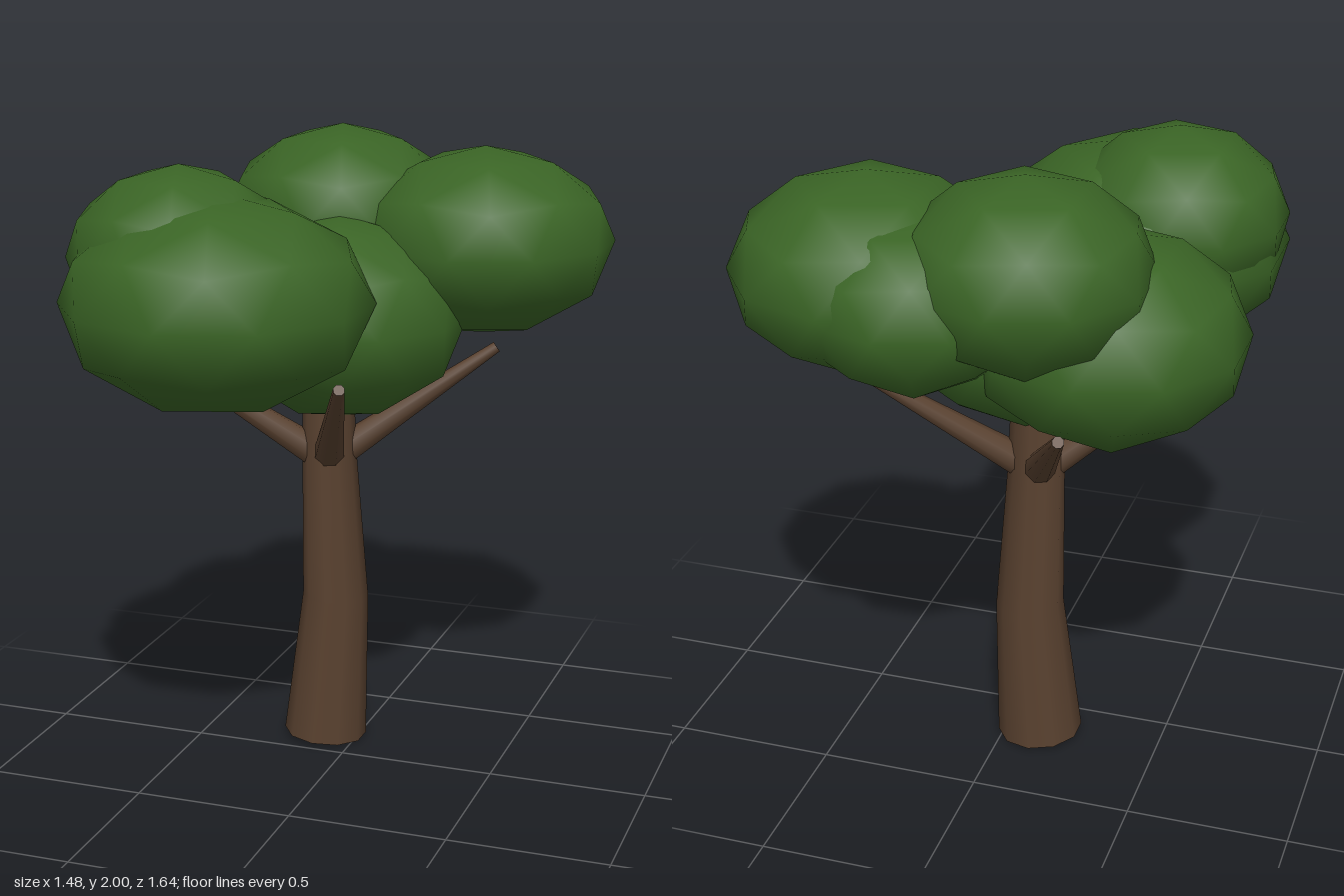
import * as THREE from 'three';

const bark = new THREE.MeshStandardMaterial({ name: 'barkBrown', color: 0x5a4230 });
const leaf = new THREE.MeshStandardMaterial({ name: 'leafGreen', color: 0x3a6425 });

// Smooth tapered tube through rings [x, y, z, radius], closed with flat caps
function taperedTube(rings, sides, up) {
  const q = new THREE.Quaternion().setFromUnitVectors(new THREE.Vector3(0, 1, 0), up);
  const geo = new THREE.CylinderGeometry(1, 1, 1, sides, rings.length - 1);
  const pos = geo.attributes.position;
  const v = new THREE.Vector3();
  for (let i = 0; i < pos.count; i++) {
    const [x, y, z, r] = rings[Math.round((pos.getY(i) + 0.5) * (rings.length - 1))];
    v.set(pos.getX(i) * r, 0, pos.getZ(i) * r).applyQuaternion(q);
    pos.setXYZ(i, x + v.x, y + v.y, z + v.z);
  }
  geo.getAttribute('normal').array.forEach((_, i, a) => {
    if (i % 3) return;
    v.fromArray(a, i).applyQuaternion(q).toArray(a, i);
  });
  return geo;
}

export function createModel() {
  const tree = new THREE.Group();
  tree.name = 'tree';

  const add = (name, geo, mat) => {
    const mesh = new THREE.Mesh(geo, mat);
    mesh.name = name;
    tree.add(mesh);
    return mesh;
  };

  // Slightly bent trunk
  add('trunk', taperedTube([
    [-0.11, 0.012, -0.147, 0.135],
    [-0.08, 0.49, -0.165, 0.107],
    [-0.095, 0.97, -0.15, 0.088],
    [-0.1, 1.3, -0.145, 0.08],
  ], 10, new THREE.Vector3(0.07, 1, -0.02).normalize()), bark);

  // Four branches, a quarter turn apart
  for (let i = 0; i < 4; i++) {
    const a = -0.4 + i * Math.PI / 2;
    const cx = -0.1, cz = -0.15;
    const dx = Math.cos(a), dz = Math.sin(a);
    const start = [cx + dx * 0.05, 0.985, cz + dz * 0.05, 0.05];
    const end = [cx + dx * 0.54, 1.315, cz + dz * 0.54, 0.018];
    const up = new THREE.Vector3(dx * 0.49, 0.33, dz * 0.49).normalize();
    add('branch' + (i + 1), taperedTube([start, end], 8, up), bark);
  }

  // Leaf clumps: squashed icospheres with a vertex at the top
  const clump = new THREE.IcosahedronGeometry(1, 1);
  clump.rotateX(-Math.atan((1 + Math.sqrt(5)) / 2));
  clump.rotateY(Math.PI / 2);
  // x, y, z, horizontal radius, vertical radius
  const clumps = {
    frontLeaves: [-0.275, 1.55, 0.345, 0.475, 0.33],
    frontUpperLeaves: [-0.41, 1.67, 0.295, 0.345, 0.28],
    topLeaves: [-0.14, 1.71, -0.41, 0.38, 0.29],
    leftLeaves: [0.345, 1.655, -0.375, 0.415, 0.298],
    backLeaves: [0.17, 1.62, -0.475, 0.347, 0.27],
    rightLeaves: [-0.34, 1.47, -0.23, 0.42, 0.32],
    middleLeaves: [-0.04, 1.44, -0.09, 0.4, 0.32],
  };
  for (const [name, [x, y, z, r, h]] of Object.entries(clumps)) {
    const mesh = add(name, clump, leaf);
    mesh.position.set(x, y, z);
    mesh.scale.set(r, h, r);
  }
  return tree;
}
